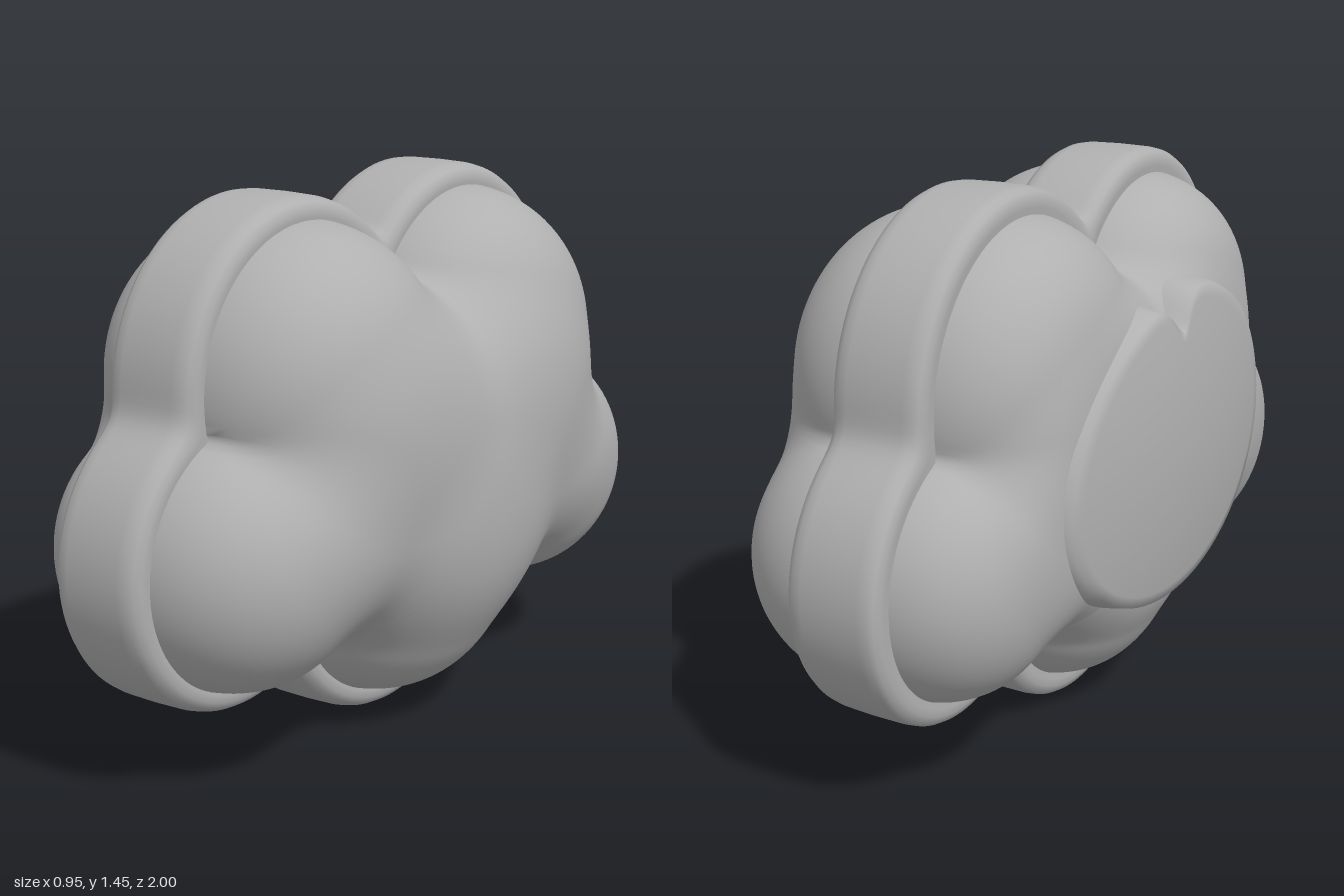
import * as THREE from 'three';

const CENTRE_Y = 0.72, SEGMENTS = 240, PUFF_INSET = 0.056;

// Cloud lobes: centre (z, y), radius and how far each one puffs out sideways
const LOBES = [
  { z: 0.35, y: 0.985, r: 0.45, h: 0.42 },
  { z: -0.325, y: 0.985, r: 0.47, h: 0.42 },
  { z: 0.6, y: 0.58, r: 0.4, h: 0.395 },
  { z: -0.6, y: 0.58, r: 0.4, h: 0.395 },
  { z: 0, y: 0.46, r: 0.46, h: 0.41 },
];

// Distance from the middle to the softly merged lobe outline, shrunk by inset
function cloudRadius(angle, inset) {
  const c = Math.cos(angle), s = Math.sin(angle);
  let sum = 0;
  for (const l of LOBES) {
    const dy = l.y - CENTRE_Y, r = l.r - inset;
    const along = l.z * c + dy * s;
    const disc = along * along - (l.z * l.z + dy * dy - r * r);
    if (disc < 0) continue;
    const exit = along + Math.sqrt(disc);
    if (exit > 0) sum += exit ** 28;
  }
  return sum ** (1 / 28);
}

// Sideways bulge of the broad belly blended with the lobes: a lower power is boxier,
// and the result flattens softly at limit
function puffHeight(z, y, power, limit) {
  const pillow = (d2, h) => (d2 < 1 ? h * (1 - d2) ** power : 0);
  let sum = pillow((z / 0.76) ** 2 + ((y - CENTRE_Y) / 0.5) ** 2, 0.478) ** 6;
  for (const l of LOBES) {
    const r = l.r - PUFF_INSET;
    sum += pillow(((z - l.z) ** 2 + (y - l.y) ** 2) / (r * r), l.h) ** 6;
  }
  const h = sum ** (1 / 6);
  return h / (1 + (h / limit) ** 14) ** (1 / 14);
}

const leftHeight = (z, y) => puffHeight(z, y, 0.4, 0.51);
const rightHeight = (z, y) => puffHeight(z, y, 0.33, 0.425);

// Closed rings joined into a smooth skin; point(row, angle) gives [x, y, z]
function loft(name, rows, point, flip, material) {
  const positions = [], index = [];
  for (let i = 0; i < rows; i++) {
    for (let j = 0; j < SEGMENTS; j++) {
      positions.push(...point(i, (j / SEGMENTS) * Math.PI * 2));
    }
  }
  for (let i = 0; i < rows - 1; i++) {
    for (let j = 0; j < SEGMENTS; j++) {
      const k = (j + 1) % SEGMENTS;
      const a = i * SEGMENTS + j, b = a + SEGMENTS;
      const c = i * SEGMENTS + k, d = c + SEGMENTS;
      if (flip) index.push(a, c, b, b, c, d);
      else index.push(a, b, c, b, d, c);
    }
  }
  const geometry = new THREE.BufferGeometry();
  geometry.setAttribute('position', new THREE.Float32BufferAttribute(positions, 3));
  geometry.setIndex(index);
  geometry.computeVertexNormals();
  const mesh = new THREE.Mesh(geometry, material);
  mesh.name = name;
  return mesh;
}

export function createModel() {
  const group = new THREE.Group();
  group.name = 'cloud';
  const grey = new THREE.MeshStandardMaterial({ color: 0xb0b0b0 });
  grey.name = 'plainGrey';

  // Puffed halves either side of the band
  const ROWS = 48;
  for (const side of [1, -1]) {
    const height = side > 0 ? leftHeight : rightHeight;
    group.add(loft(side > 0 ? 'leftPuff' : 'rightPuff', ROWS, (i, angle) => {
      const r = cloudRadius(angle, PUFF_INSET) * Math.sin((i / (ROWS - 1)) * Math.PI / 2);
      const z = r * Math.cos(angle), y = CENTRE_Y + r * Math.sin(angle);
      return [side * height(z, y), y, z];
    }, side > 0, grey));
  }

  // Raised band round the rim: inset from the outline, x
  const band = [
    [0.14, 0.09], [0.055, 0.099], [0.035, 0.098], [0.018, 0.088], [0.008, 0.07], [0.003, 0.045],
    [0, -0.03], [0, -0.11], [0.003, -0.135], [0.012, -0.15], [0.03, -0.158], [0.05, -0.158],
    [0.14, -0.15],
  ];
  group.add(loft('rimBand', band.length, (i, angle) => {
    const r = cloudRadius(angle, band[i][0]);
    return [band[i][1], CENTRE_Y + r * Math.sin(angle), r * Math.cos(angle)];
  }, true, grey));

  // Shallow domed patch resting on the right side, lightly notched at the top
  const PATCH_ROWS = 16;
  group.add(loft('sidePatch', PATCH_ROWS, (i, angle) => {
    const c = Math.cos(angle), s = Math.sin(angle);
    const oval = 1 / Math.hypot(c / 0.56, s / (s > 0 ? 0.45 + 0.03 * c : 0.38));
    const notch = s > 0 ? 0.1 * Math.exp(-((c / 0.16) ** 2)) : 0;
    const isRim = i === PATCH_ROWS - 1;
    const r = (isRim ? 1 : 0.97 * i / (PATCH_ROWS - 2)) * (oval - notch);
    const z = r * c, y = CENTRE_Y + r * s, base = rightHeight(z, y);
    const dome = 0.475 - 0.18 * z * z - 0.25 * (y - CENTRE_Y) ** 2;
    // The rim sinks into the puff below
    return [isRim ? 0.01 - base : -Math.max(dome, base + 0.004), y, z];
  }, false, grey));

  return group;
}
